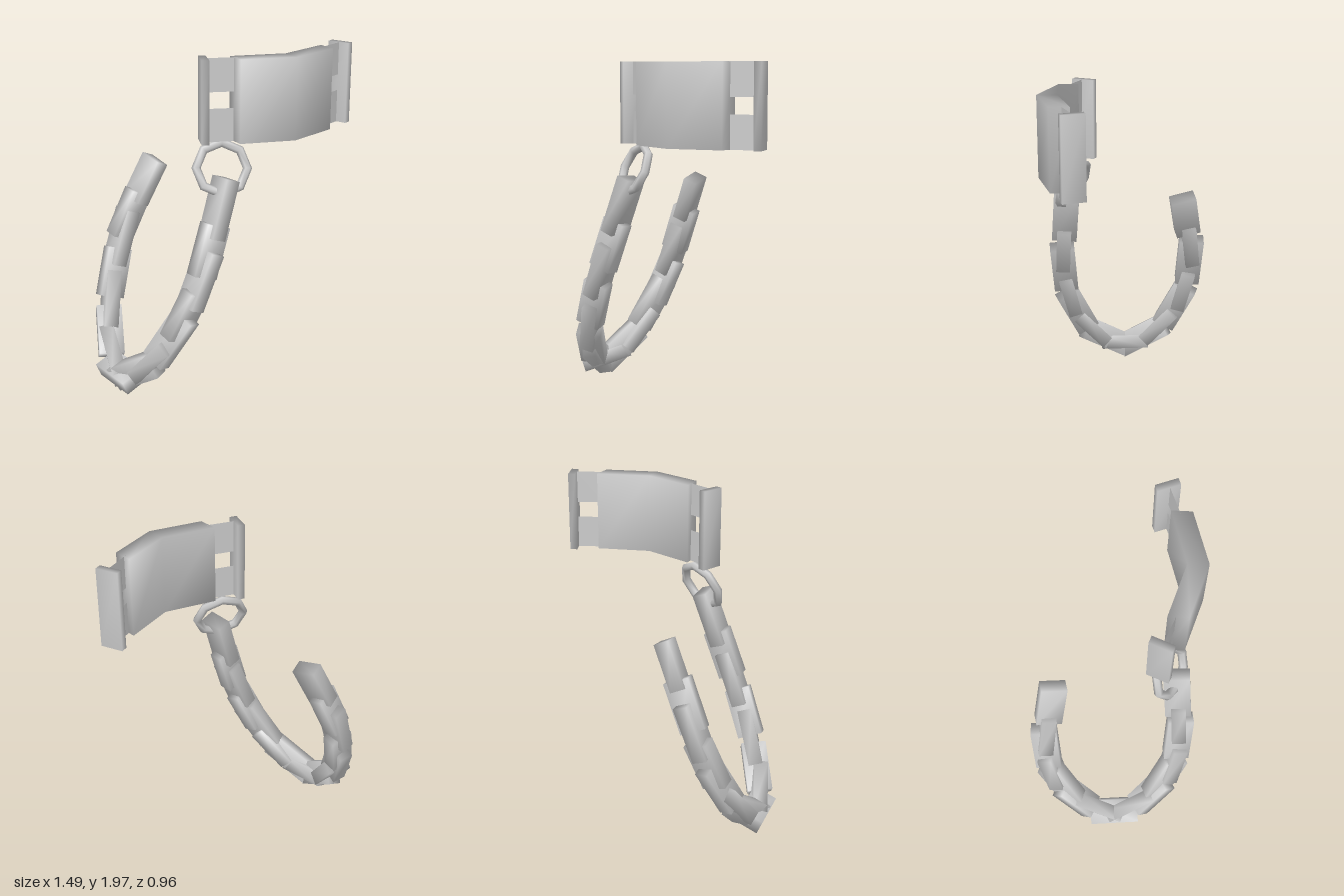
import * as THREE from 'three';
import { mergeVertices } from 'three/addons/utils/BufferGeometryUtils.js';

const material = new THREE.MeshStandardMaterial({ color: 0xcccccc, side: THREE.DoubleSide });

function addMesh(parent, name, geometry) {
  const mesh = new THREE.Mesh(geometry, material);
  mesh.name = name;
  parent.add(mesh);
  return mesh;
}

// Share the corners of a box so that it shades softly
function soften(geometry) {
  geometry.deleteAttribute('normal');
  geometry.deleteAttribute('uv');
  const merged = mergeVertices(geometry, 1e-4);
  merged.computeVertexNormals();
  return merged;
}

function createCuff() {
  const cuff = new THREE.Group();
  cuff.name = 'cuff';
  cuff.position.set(0.245, 1.767, 0);

  // Plate folded forward along its middle
  const plate = new THREE.BoxGeometry(0.604, 0.466, 0.115, 2, 1, 1);
  const p = plate.attributes.position;
  for (let i = 0; i < p.count; i++) {
    p.setZ(i, p.getZ(i) + 0.415 - Math.abs(p.getX(i)) * 0.31);
  }
  addMesh(cuff, 'cuffPlate', soften(plate));

  for (const side of [1, -1]) {
    // Pair of thin straps leading to each end bar
    for (const y of [0.14, -0.14]) {
      const strap = addMesh(cuff, 'strap', new THREE.PlaneGeometry(0.18, 0.188));
      strap.position.set(side * 0.365, y, 0.283);
      strap.rotation.y = side * 0.38;
    }
    // Angled end bar
    const bar = addMesh(cuff, 'endBar', soften(new THREE.BoxGeometry(0.042, 0.468, 0.133)));
    bar.position.set(side * 0.454, 0, 0.243);
    bar.rotation.y = side * 0.37;
  }
  return cuff;
}

// Turn an object so that its x and y axes follow the given directions
function orient(object, xAxis, yAxis) {
  const x = xAxis.clone().addScaledVector(yAxis, -xAxis.dot(yAxis)).normalize();
  const basis = new THREE.Matrix4().makeBasis(x, yAxis, x.clone().cross(yAxis));
  object.quaternion.setFromRotationMatrix(basis);
}

function createRing() {
  // Eight-sided ring hanging from the cuff
  const ring = addMesh(new THREE.Group(), 'ring', new THREE.TorusGeometry(0.143, 0.026, 6, 8));
  orient(ring, new THREE.Vector3(0.9, 0, 0.4), new THREE.Vector3(-0.17, 0.87, -0.47).normalize());
  ring.position.set(-0.133, 1.39, 0.31);
  ring.rotateZ(Math.PI / 8);
  return ring;
}

function createChain() {
  const chain = new THREE.Group();
  chain.name = 'chain';
  // Link centres, from the ring round to the loose end
  const centres = [
    [-0.183, 1.18, 0.362], [-0.262, 0.95, 0.383], [-0.32, 0.795, 0.39], [-0.41, 0.585, 0.37],
    [-0.475, 0.44, 0.325], [-0.55, 0.285, 0.25], [-0.61, 0.19, 0.14], [-0.645, 0.135, 0.02],
    [-0.635, 0.19, -0.1], [-0.6, 0.29, -0.22], [-0.55, 0.45, -0.31], [-0.495, 0.6, -0.365],
    [-0.425, 0.81, -0.395], [-0.37, 0.95, -0.39], [-0.27, 1.16, -0.36],
  ].map((c) => new THREE.Vector3(...c));
  const planeNormal = new THREE.Vector3(0.92, 0.39, -0.07).normalize();
  const last = centres.length - 1;

  // Links alternate between lying in the plane of the loop and across it
  centres.forEach((centre, i) => {
    const size = i % 2 === 0 ? [0.085, 0.34, 0.15] : [0.15, 0.3, 0.085];
    if (i === last) size[1] = 0.28;
    const link = addMesh(chain, 'chainLink', soften(new THREE.BoxGeometry(...size)));
    const along = centres[Math.min(i + 1, last)].clone().sub(centres[Math.max(i - 1, 0)]).normalize();
    orient(link, planeNormal, along);
    link.position.copy(centre);
  });
  return chain;
}

export function createModel() {
  const model = new THREE.Group();
  model.name = 'brokenShackle';
  model.add(createCuff(), createRing(), createChain());
  return model;
}
